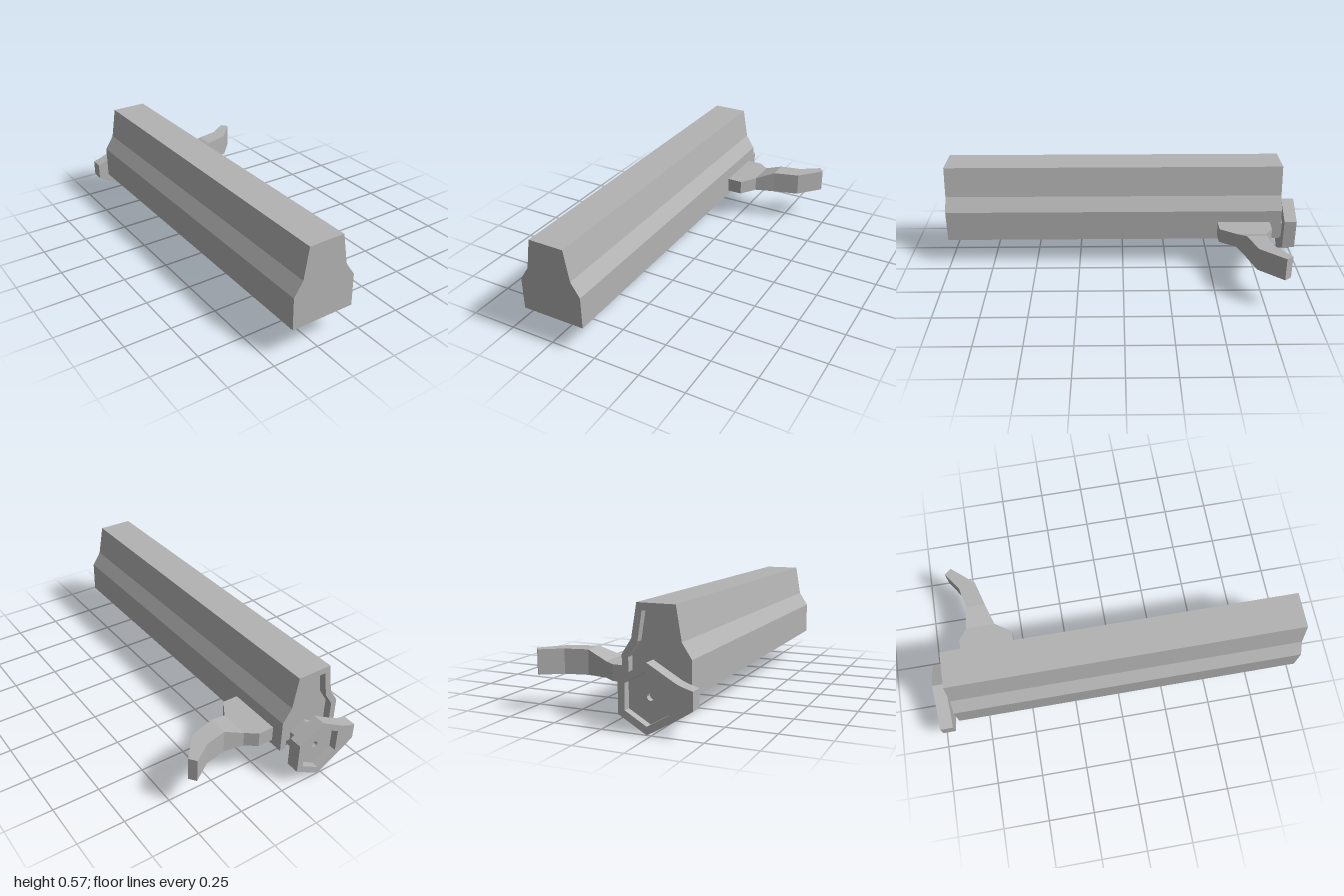
import * as THREE from 'three';

const CX = -0.228; // centre line of the body, bar and knob
const KY = 0.165; // axis height of bar and knob

const grey = new THREE.MeshStandardMaterial({ color: 0xb3b3b3 });
grey.name = 'plain grey';

function shapeFrom(points) {
  return new THREE.Shape(points.map(([x, y]) => new THREE.Vector2(x, y)));
}

// Flat outline in x and y, running from z0 to z1
function prism(name, shape, z0, z1) {
  const geo = new THREE.ExtrudeGeometry(shape, { depth: z1 - z0, bevelEnabled: false });
  geo.translate(0, 0, z0);
  const mesh = new THREE.Mesh(geo, grey);
  mesh.name = name;
  return mesh;
}

// Right half of an outline, mirrored about the centre line
function mirrored(half) {
  const right = half.map(([dx, y]) => [CX + dx, y]);
  const left = half.map(([dx, y]) => [CX - dx, y]).reverse();
  return [...right, ...left];
}

// Pointed-top polygon round the bar axis
function polygon(radius, sides = 6) {
  return Array.from({ length: sides }, (_, i) => {
    const a = Math.PI / 2 + (i / sides) * Math.PI * 2;
    return [CX + radius * Math.cos(a), KY + radius * Math.sin(a)];
  });
}

function withHole(points, hole) {
  const shape = shapeFrom(points);
  shape.holes.push(shapeFrom(hole));
  return shape;
}

// Lever lofted from pairs of points along its length
function leverGeometry() {
  const bottom = 0.185;
  // [back x, back z, front x, front z, top y]
  const stations = [
    [-0.06, -0.835, -0.06, -0.54, 0.265],
    [0.03, -0.835, 0.03, -0.54, 0.265],
    [0.09, -0.79, 0.09, -0.63, 0.265],
    [0.197, -0.772, 0.197, -0.665, 0.31],
    [0.315, -0.797, 0.338, -0.705, 0.31],
    [0.42, -0.868, 0.448, -0.832, 0.31],
  ];
  const rings = stations.map(([bx, bz, fx, fz, top]) => [
    [bx, bottom, bz], [fx, bottom, fz], [fx, top, fz], [bx, top, bz],
  ]);
  const pos = [];
  const quad = (a, b, c, d) => pos.push(...a, ...b, ...c, ...a, ...c, ...d);
  for (let i = 0; i < rings.length - 1; i++) {
    for (let j = 0; j < 4; j++) {
      const k = (j + 1) % 4;
      quad(rings[i][j], rings[i + 1][j], rings[i + 1][k], rings[i][k]);
    }
  }
  const first = rings[0];
  const last = rings[rings.length - 1];
  quad(first[0], first[1], first[2], first[3]);
  quad(last[3], last[2], last[1], last[0]);
  const geo = new THREE.BufferGeometry();
  geo.setAttribute('position', new THREE.Float32BufferAttribute(pos, 3));
  geo.computeVertexNormals();
  return geo;
}

export function createModel() {
  const model = new THREE.Group();
  model.name = 'model';

  // Body: a long shell open below, closed in front, recessed at the back
  const outer = [[0.173, 0.16], [0.173, 0.333], [0.124, 0.408], [0.096, 0.573]];
  const inner = [[0.168, 0.16], [0.118, 0.408], [0.088, 0.56]];
  const rimInner = [[0.14, 0.16], [0.14, 0.322], [0.093, 0.395], [0.07, 0.538]];
  const channel = (hollow) => shapeFrom([...mirrored(outer), ...mirrored(hollow).reverse()]);

  const body = new THREE.Group();
  body.name = 'body';
  body.add(
    prism('bodyShell', channel(inner), -0.86, 0.992),
    prism('frontPlate', shapeFrom(mirrored(outer)), 0.992, 1),
    prism('backPlate', shapeFrom(mirrored(outer)), -0.86, -0.852),
    prism('backRim', channel(rimInner), -0.9, -0.86),
  );
  model.add(body);

  // Six-sided bar slung beneath the body
  model.add(prism('bar', shapeFrom(polygon(0.09)), -0.93, 0.2));

  // Knob: hexagon with a thumb tab on one side, hollowed at the back
  const knobOutline = [
    [CX, 0.328], [-0.369, 0.247], [-0.4, 0.235], [-0.448, 0.221],
    [-0.448, 0.133], [-0.369, 0.083], [CX, 0.002], [-0.087, 0.083], [-0.087, 0.247],
  ];
  const knob = new THREE.Group();
  knob.name = 'knob';
  knob.add(
    prism('knobRim', withHole(knobOutline, polygon(0.124)), -1, -0.96),
    prism('knobFloor', withHole(knobOutline, polygon(0.018, 8)), -0.96, -0.93),
  );
  model.add(knob);

  // Curved side lever
  const lever = new THREE.Mesh(leverGeometry(), grey);
  lever.name = 'lever';
  model.add(lever);

  return model;
}
